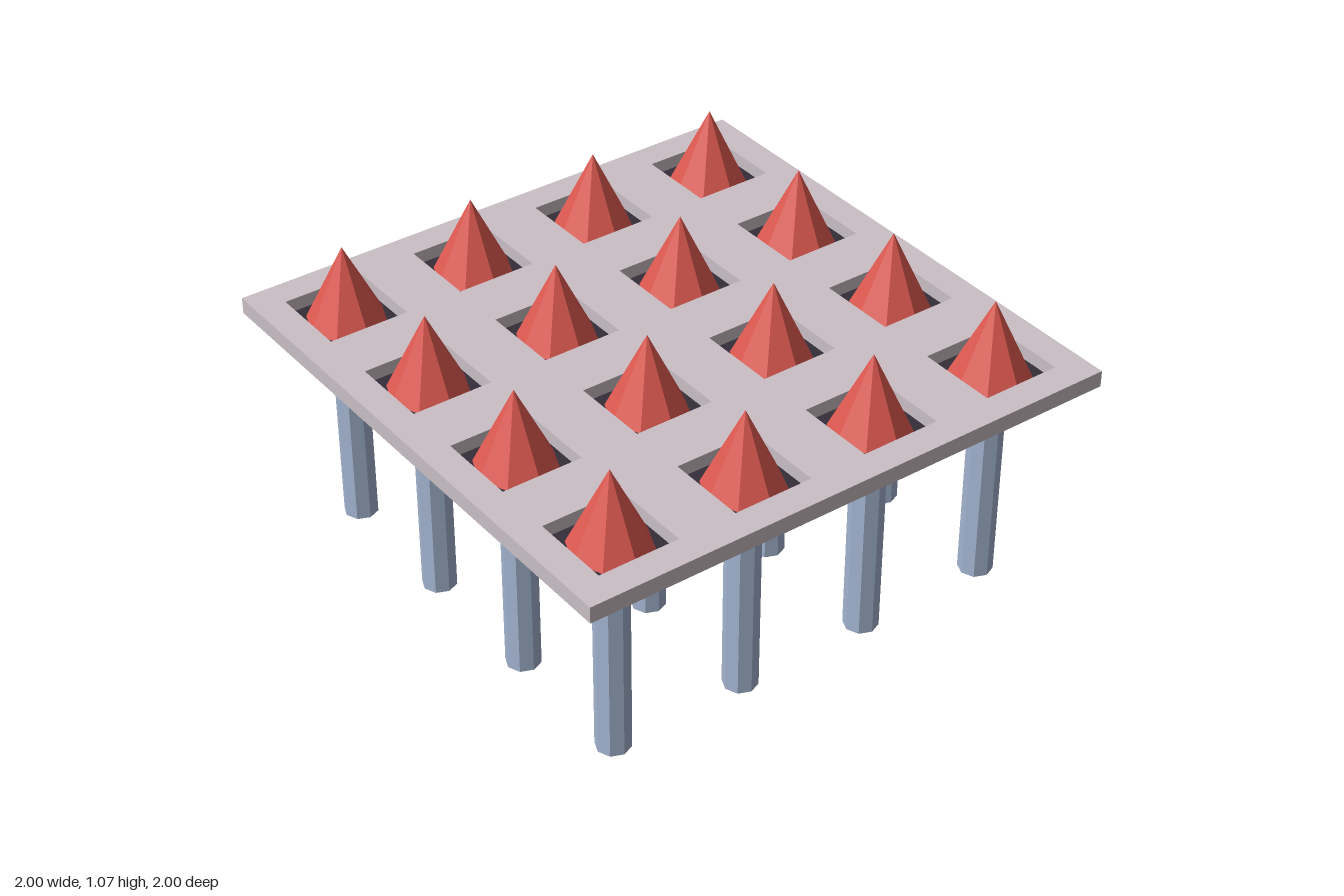
import * as THREE from 'three';

const material = (name, color) => {
  const m = new THREE.MeshStandardMaterial({ color });
  m.name = name;
  return m;
};

// Facet a geometry with hard edges
const faceted = (geometry) => {
  const g = geometry.toNonIndexed();
  g.computeVertexNormals();
  return g;
};

export function createModel() {
  const model = new THREE.Group();
  model.name = 'spikeTrap';

  const stone = material('paleStone', 0xcabfc5);
  const dark = material('darkPit', 0x342d38);
  const red = material('redSpike', 0xdc5850);
  const steel = material('blueSteel', 0xa5b6d2);

  const bottom = 0.778, top = 0.837, floor = 0.789;
  const pit = 0.29;
  const steps = [-0.75, -0.25, 0.25, 0.75];

  const add = (parent, name, geometry, mat, x, y, z) => {
    const mesh = new THREE.Mesh(geometry, mat);
    mesh.name = name;
    mesh.position.set(x, y, z);
    parent.add(mesh);
  };

  // Square slab pierced by a grid of square openings
  const square = (Type, cx, cy, size) => {
    const h = size / 2;
    return new Type([[-h, -h], [h, -h], [h, h], [-h, h]]
      .map(([x, y]) => new THREE.Vector2(cx + x, cy + y)));
  };
  const outline = square(THREE.Shape, 0, 0, 2);
  for (const x of steps) for (const z of steps) outline.holes.push(square(THREE.Path, x, z, pit));
  const slab = new THREE.ExtrudeGeometry(outline, { depth: top - bottom, bevelEnabled: false });
  slab.rotateX(-Math.PI / 2);
  add(model, 'slab', slab, stone, 0, bottom, 0);

  // Shared parts of each trap cell
  const floorGeo = new THREE.BoxGeometry(pit, floor - bottom, pit);
  const floorMats = [dark, dark, dark, stone, dark, dark]; // underside matches the slab
  const spikeHeight = 0.285;
  const spikeGeo = faceted(new THREE.ConeGeometry(0.14, spikeHeight, 8));
  const pillarGeo = faceted(new THREE.CylinderGeometry(0.06, 0.06, bottom, 8));

  for (const x of steps) {
    for (const z of steps) {
      const cell = new THREE.Group();
      cell.name = 'trapCell';
      cell.position.set(x, 0, z);
      add(cell, 'pitFloor', floorGeo, floorMats, 0, (floor + bottom) / 2, 0);
      add(cell, 'spike', spikeGeo, red, 0, 1.07 - spikeHeight / 2, 0);
      add(cell, 'pillar', pillarGeo, steel, 0, bottom / 2, 0);
      model.add(cell);
    }
  }
  return model;
}
